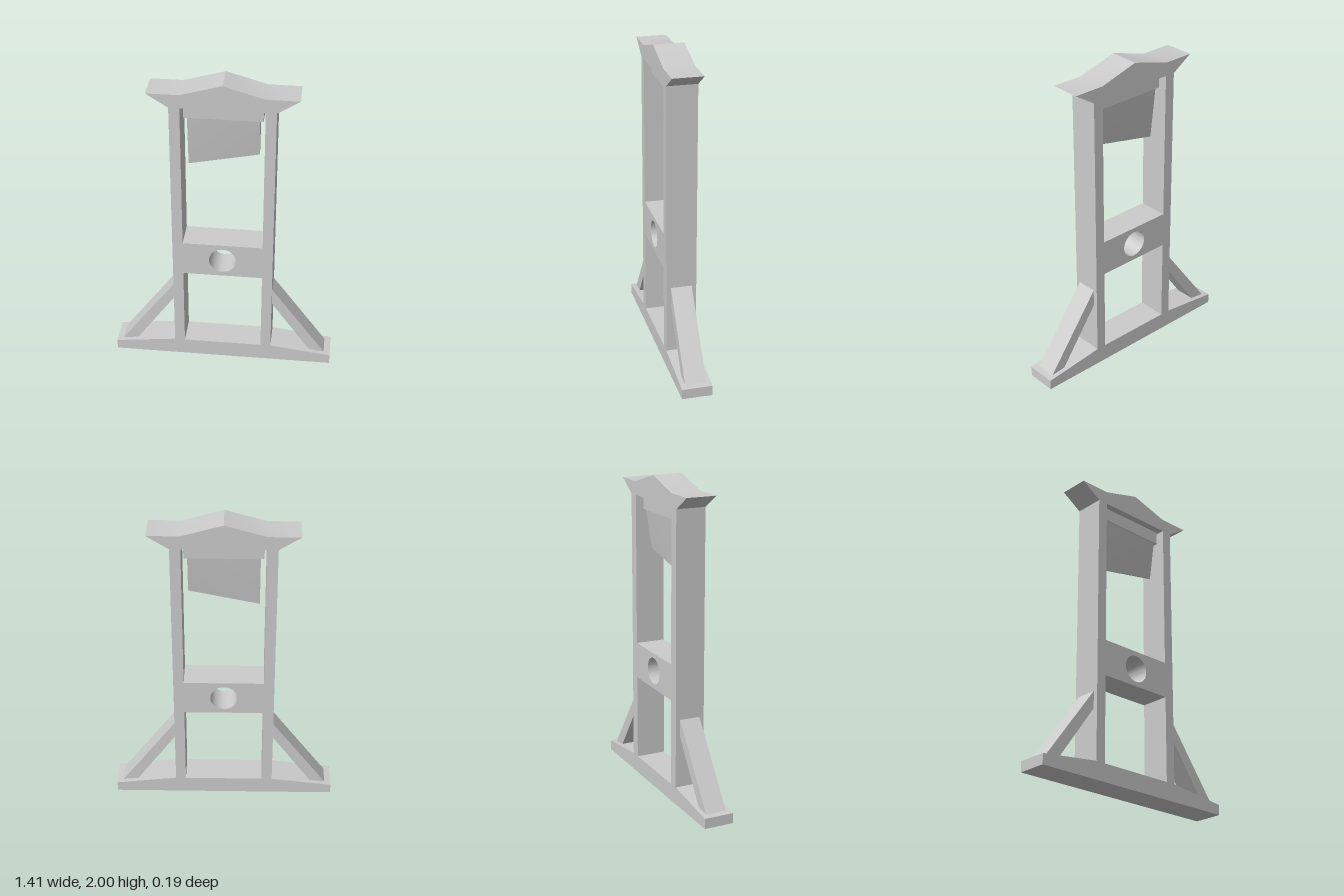
import * as THREE from 'three';
import { toCreasedNormals } from 'three/addons/utils/BufferGeometryUtils.js';

const material = new THREE.MeshStandardMaterial({ color: 0xcccccc });

const toPoints = (list) => list.map(([x, y]) => new THREE.Vector2(x, y));

// Extrude a front outline symmetrically about z = 0
function slab(shape, depth) {
  const g = new THREE.ExtrudeGeometry(shape, { depth, bevelEnabled: false, curveSegments: 32 });
  return g.translate(0, 0, -depth / 2);
}

function addPart(group, name, geometry) {
  const mesh = new THREE.Mesh(toCreasedNormals(geometry, 0.4), material);
  mesh.name = name;
  group.add(mesh);
}

function rectHole(halfWidth, y0, y1) {
  return new THREE.Path(toPoints([
    [-halfWidth, y0], [-halfWidth, y1], [halfWidth, y1], [halfWidth, y0],
  ]));
}

export function createModel() {
  const group = new THREE.Group();
  group.name = 'bladeFrame';

  // Frame: base, posts, crossbeam and peaked roof from one mirrored outline
  const half = [[0.705, 0], [0.705, 0.065], [0.315, 0.112], [0.315, 1.843], [0.448, 1.928], [0.25, 1.928]];
  const mirrored = half.map(([x, y]) => [-x, y]).reverse();
  const frame = new THREE.Shape(toPoints([...half, [0, 2], ...mirrored]));
  frame.holes.push(rectHole(0.25, 0.112, 0.66), rectHole(0.25, 0.89, 1.843));
  frame.holes.push(new THREE.Path().absarc(0, 0.775, 0.085, 0, Math.PI * 2, true));
  addPart(group, 'frame', slab(frame, 0.19));

  // Diagonal braces between posts and base
  for (const [name, s] of [['leftBrace', 1], ['rightBrace', -1]]) {
    const outline = [[0.315, 0.44], [0.567, 0.082], [0.665, 0.07], [0.315, 0.55]];
    const shape = new THREE.Shape(toPoints(outline.map(([x, y]) => [s * x, y])));
    addPart(group, name, slab(shape, 0.132));
  }

  // Blade holder under the roof
  addPart(group, 'bladeHolder', new THREE.BoxGeometry(0.472, 0.085, 0.1).translate(0, 1.8, 0));

  // Slanted blade, tapering to a thin lower edge
  const blade = slab(new THREE.Shape(toPoints([
    [-0.215, 1.42], [0.215, 1.51], [0.215, 1.758], [-0.215, 1.758],
  ])), 0.086);
  const p = blade.attributes.position;
  for (let i = 0; i < p.count; i++) {
    if (p.getY(i) < 1.6) p.setZ(i, Math.sign(p.getZ(i)) * 0.004);
  }
  addPart(group, 'blade', blade);

  return group;
}
